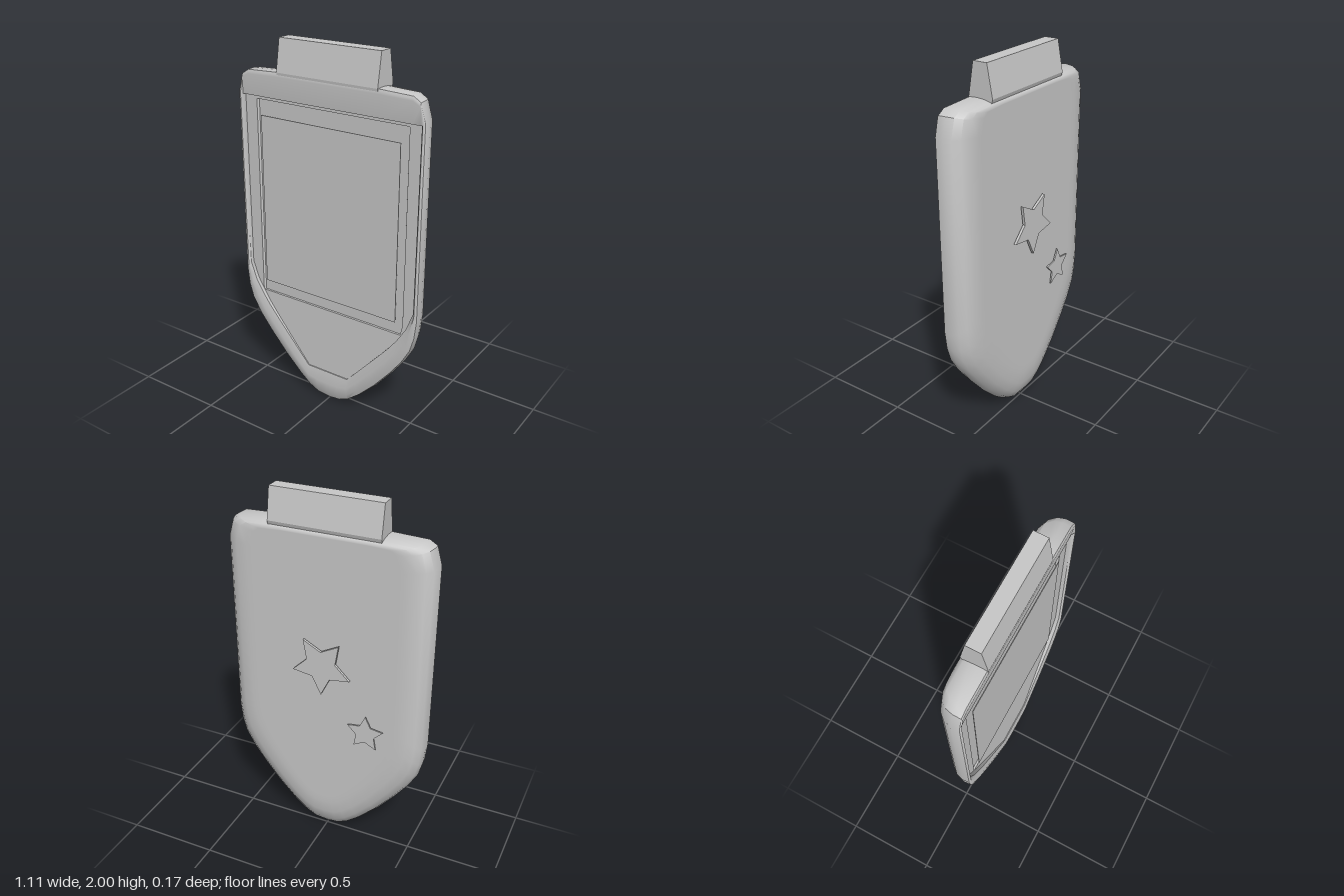
import * as THREE from 'three';
import { toCreasedNormals } from 'three/addons/utils/BufferGeometryUtils.js';

// Half outline, bottom to top: outer edge x,y / recess edge x,y / screen edge x,y
const HALF = [
  [0, 0.002, 0, 0.18, 0, 0.56],
  [0.07, 0.008, 0.07, 0.18, 0.07, 0.56],
  [0.13, 0.037, 0.13, 0.18, 0.14, 0.56],
  [0.2, 0.092, 0.18, 0.235, 0.2, 0.56],
  [0.3, 0.192, 0.26, 0.325, 0.28, 0.56],
  [0.4, 0.312, 0.34, 0.415, 0.36, 0.56],
  [0.47, 0.407, 0.4, 0.485, 0.42, 0.56],
  [0.522, 0.5, 0.44, 0.54, 0.457, 0.56],
  [0.543, 0.58, 0.49, 0.62, 0.457, 0.62],
  [0.553, 0.68, 0.527, 0.72, 0.457, 0.72],
  [0.553, 1.705, 0.531, 1.69, 0.457, 1.67],
  [0.525, 1.8, 0.522, 1.69, 0.45, 1.67],
  [0.485, 1.825, 0.48, 1.69, 0.42, 1.67],
  [0.31, 1.832, 0.3, 1.69, 0.3, 1.67],
  [0, 1.832, 0, 1.69, 0, 1.67],
];

function bodyGeometry() {
  const mirrored = HALF.slice(1, -1).reverse().map(([a, b, c, d, e, f]) => [-a, b, -c, d, -e, f]);
  const cols = [...HALF, ...mirrored];
  const n = cols.length;
  const floorZ = (y) => 0.067 - 0.016 * THREE.MathUtils.clamp((y - 0.18) / 0.37, 0, 1);
  // Rounded back and sides: outline scaled toward the upper body
  const shell = (sx, sy, z) => ([x, y]) => [x * sx, 1.6 + (y - 1.6) * sy, z];
  // Front rim: blend from outer edge to recess edge, rounder at the bottom tip
  const rim = (t, z) => ([x, y, ix, iy]) => {
    const k = y > 1.71 ? t * 0.3 : t;
    const crisp = 0.75 * THREE.MathUtils.smoothstep(y, 0.05, 0.6);
    return [x + (ix - x) * k, y + (iy - y) * k, z + (0.083 - z) * crisp];
  };
  const rings = [
    () => [0, 0.95, -0.06],
    shell(0.7, 0.85, -0.06),
    shell(0.76, 0.875, -0.06),
    shell(0.86, 0.92, -0.054),
    shell(0.93, 0.958, -0.037),
    shell(0.98, 0.987, -0.005),
    shell(1, 1, 0.035),
    rim(0.06, 0.06),
    rim(0.3, 0.076),
    rim(0.6, 0.081),
    (c) => [c[2], c[3], 0.072],
    (c) => [c[2], c[3], floorZ(c[3])],
    (c) => [c[4], c[5], floorZ(c[5])],
    (c) => [c[4] * 0.985, c[5], 0.039],
    () => [0, 1.1, 0.039],
  ];
  const pos = rings.flatMap((f) => cols.flatMap((c) => f(c)));
  const index = [];
  for (let r = 0; r < rings.length - 1; r++) {
    for (let i = 0; i < n; i++) {
      const j = (i + 1) % n;
      const a = r * n + i, b = r * n + j, c = b + n, d = a + n;
      if (r < rings.length - 2) index.push(a, c, d);
      if (r > 0) index.push(a, b, c);
    }
  }
  const g = new THREE.BufferGeometry();
  g.setAttribute('position', new THREE.Float32BufferAttribute(pos, 3));
  g.setIndex(index);
  return toCreasedNormals(g, 0.7);
}

function starGeometry(radius, depth) {
  const pts = [];
  for (let i = 0; i < 10; i++) {
    const r = i % 2 ? radius * 0.5 : radius;
    const a = Math.PI / 2 + (i * Math.PI) / 5;
    pts.push(new THREE.Vector2(r * Math.cos(a), r * Math.sin(a)));
  }
  return new THREE.ExtrudeGeometry(new THREE.Shape(pts), { depth, bevelEnabled: false });
}

export function createModel() {
  const group = new THREE.Group();
  const grey = new THREE.MeshStandardMaterial({ color: 0xc8c8c8 });
  grey.name = 'grey';
  const add = (name, geometry, x = 0, y = 0, z = 0) => {
    const m = new THREE.Mesh(geometry, grey);
    m.name = name;
    m.position.set(x, y, z);
    group.add(m);
    return m;
  };

  add('body', bodyGeometry());

  // Thin display glass held above the recess floor
  add('display', new THREE.BoxGeometry(0.84, 0.955, 0.004), 0, 1.112, 0.064);

  // Tapered connector on the top edge
  const side = new THREE.Shape([
    [-0.04, 1.79], [0.078, 1.79], [0.083, 1.83], [0.054, 2], [-0.024, 2], [-0.054, 1.835],
  ].map(([z, y]) => new THREE.Vector2(z, y)));
  const tab = new THREE.ExtrudeGeometry(side, { depth: 0.595, bevelEnabled: false });
  tab.translate(0, 0, -0.2975).rotateY(-Math.PI / 2);
  add('connectorTab', tab);

  // Raised stars on the back
  add('largeStar', starGeometry(0.168, 0.014), 0, 1.107, -0.071).rotation.x = Math.PI;
  add('smallStar', starGeometry(0.105, 0.008), -0.25, 0.755, -0.077);

  return group;
}
